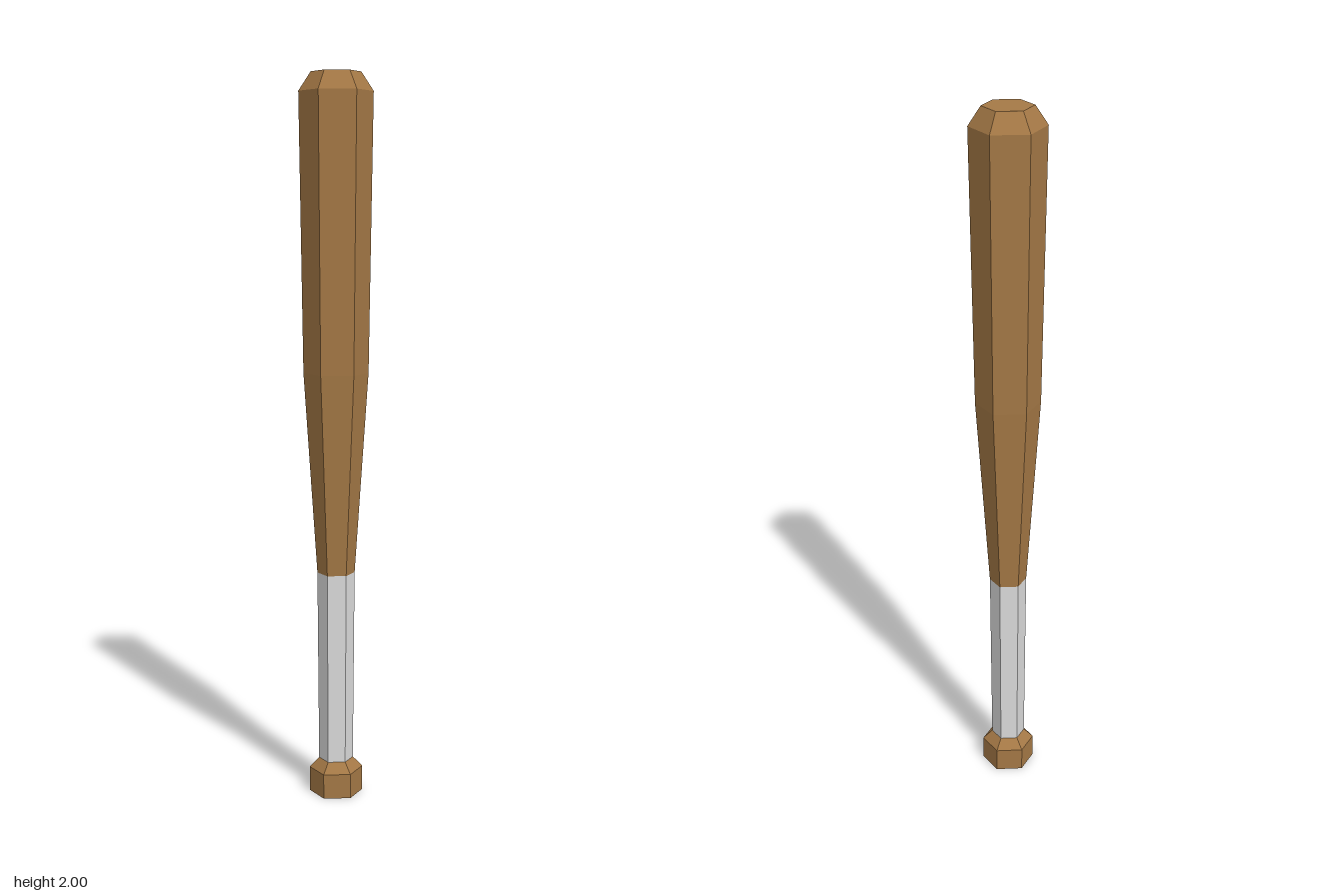
import * as THREE from 'three';

export function createModel() {
  const wood = new THREE.MeshStandardMaterial({ color: 0xa57946, flatShading: true });
  wood.name = 'wood';
  const tape = new THREE.MeshStandardMaterial({ color: 0xdcdcdc, flatShading: true });
  tape.name = 'grip tape';

  const bat = new THREE.Group();
  bat.name = 'bat';

  // Six-sided turned part from [radius, height] pairs, bottom to top
  const turned = (name, material, profile) => {
    const points = profile.map(([r, y]) => new THREE.Vector2(r, y));
    const mesh = new THREE.Mesh(new THREE.LatheGeometry(points, 6), material);
    mesh.name = name;
    bat.add(mesh);
  };

  // Knob with a flat base and bevelled shoulder
  turned('knob', wood, [[0, 0], [0.075, 0], [0.075, 0.07], [0.048, 0.098]]);

  // Taped handle
  turned('grip', tape, [[0.048, 0.098], [0.052, 0.64]]);

  // Tapered barrel with a bevelled flat tip
  turned('barrel', wood, [[0.052, 0.64], [0.089, 1.2], [0.1, 1.95], [0.067, 2], [0, 2]]);

  return bat;
}
